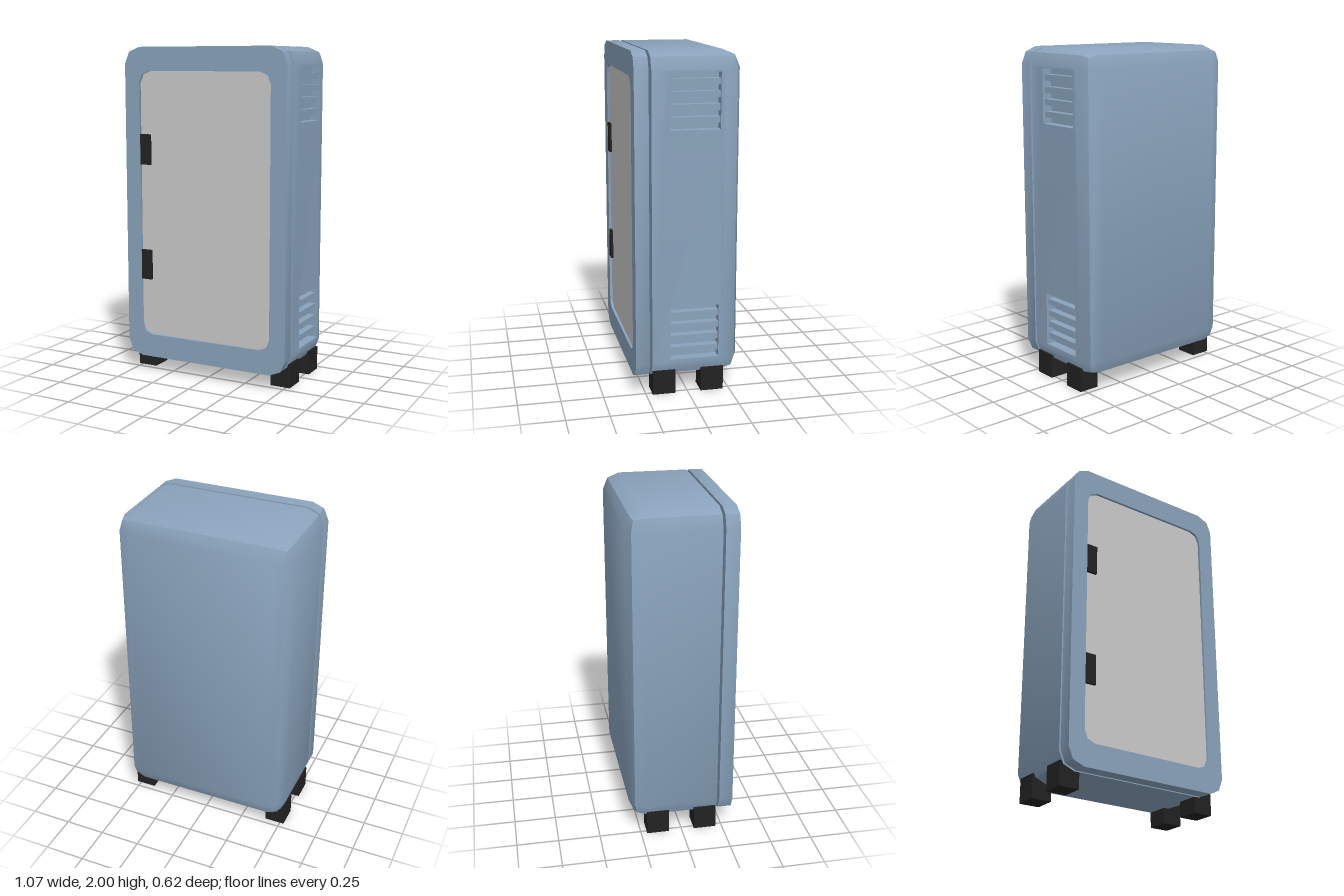
import * as THREE from 'three';
import { toCreasedNormals } from 'three/addons/utils/BufferGeometryUtils.js';

const W = 0.535, H = 0.9525, CY = 1.0475, R = 0.1;   // half width, half height, centre height, corner radius
const FRONT = 0.312, BACK = -0.312, GAP_FRONT = 0.23, GAP_BACK = 0.215;
const CREASE = 0.6;
const S = Math.SQRT1_2, T = 1 / Math.sqrt(3);

// Three points per corner, counter-clockwise seen from the front
function ring(w, h, r, dirs) {
  const pts = [];
  for (let q = 0; q < 4; q++) {
    const sx = q === 0 || q === 3 ? 1 : -1, sy = q < 2 ? 1 : -1;
    const c = Math.round(Math.cos(q * Math.PI / 2)), s = Math.round(Math.sin(q * Math.PI / 2));
    for (const [dx, dy, dz = 0] of dirs) {
      pts.push(new THREE.Vector3(
        sx * (w - r) + r * (dx * c - dy * s),
        CY + sy * (h - r) + r * (dx * s + dy * c),
        -r * dz));
    }
  }
  return pts;
}
const FLAT = [[1, 0], [S, S], [0, 1]];
const outline = (w, h, r) => ring(w, h, r, FLAT).map(p => new THREE.Vector2(p.x, p.y));

const vents = [0.375, 1.725].map(y => ({ y, z: -0.0375, h: 0.32, w: 0.285 }));

// Main shell: rounded back, flat front, louvre openings in the left wall
function shellGeometry() {
  const zc = BACK + R;
  const place = (pts, z) => pts.map(p => p.setZ(p.z + z));
  const layers = [
    place(ring(W, H, R, FLAT), GAP_BACK),
    place(ring(W, H, R, FLAT), zc),
    place(ring(W, H, R, [[S, 0, S], [T, T, T], [0, S, S]]), zc),
    place(ring(W, H, R, [[0, 0, 1], [0, 0, 1], [0, 0, 1]]), zc),
  ];
  const pos = [];
  const tri = (a, b, c) => {
    if (new THREE.Triangle(a, b, c).getArea() > 1e-7) for (const p of [a, b, c]) pos.push(p.x, p.y, p.z);
  };
  for (let l = 0; l < 3; l++) {
    for (let i = 0; i < 12; i++) {
      if (l === 0 && i === 11) continue;             // left wall is added below
      const j = (i + 1) % 12;
      const a = layers[l][i], b = layers[l][j], c = layers[l + 1][j], d = layers[l + 1][i];
      tri(a, d, c);
      tri(a, c, b);
    }
  }
  for (let i = 1; i < 11; i++) {
    tri(layers[0][0], layers[0][i], layers[0][i + 1]);
    tri(layers[3][0], layers[3][i + 1], layers[3][i]);
  }
  // Left wall with two holes, drawn in (-z, y)
  const rect = (u0, u1, v0, v1) => [[u0, v0], [u1, v0], [u1, v1], [u0, v1]].map(p => new THREE.Vector2(...p));
  const wall = new THREE.Shape(rect(-GAP_BACK, -zc, CY - H + R, CY + H - R));
  for (const v of vents) {
    wall.holes.push(new THREE.Path(rect(-v.z - v.w / 2, -v.z + v.w / 2, v.y - v.h / 2, v.y + v.h / 2).reverse()));
  }
  const wallGeo = new THREE.ShapeGeometry(wall).rotateY(Math.PI / 2).translate(W, 0, 0).toNonIndexed();
  pos.push(...wallGeo.attributes.position.array);

  const geo = new THREE.BufferGeometry();
  geo.setAttribute('position', new THREE.Float32BufferAttribute(pos, 3));
  geo.computeVertexNormals();
  return toCreasedNormals(geo, CREASE);
}

// Inward-facing box open towards +x
function recessGeometry(depth, h, w) {
  const geo = new THREE.BoxGeometry(depth, h, w);
  geo.setIndex(Array.from(geo.index.array).slice(6));
  geo.clearGroups();
  geo.scale(1, 1, -1);
  geo.computeVertexNormals();
  return geo;
}

export function createModel() {
  const blue = new THREE.MeshStandardMaterial({ name: 'steelBlue', color: 0x8aa3bc });
  const grey = new THREE.MeshStandardMaterial({ name: 'lightGrey', color: 0xcacaca });
  const black = new THREE.MeshStandardMaterial({ name: 'black', color: 0x222222 });

  const model = new THREE.Group();
  model.name = 'cabinet';
  const add = (name, geo, mat, x = 0, y = 0, z = 0, parent = model) => {
    const mesh = new THREE.Mesh(geo, mat);
    mesh.name = name;
    mesh.position.set(x, y, z);
    parent.add(mesh);
    return mesh;
  };

  add('shell', shellGeometry(), blue);

  // Front frame, separated from the shell by a narrow gap
  const frame = new THREE.Shape(outline(W, H, R));
  frame.holes.push(new THREE.Path(outline(0.435, 0.81, 0.07).reverse()));
  const frameGeo = new THREE.ExtrudeGeometry(frame, { depth: FRONT - GAP_FRONT, bevelEnabled: false });
  add('frontFrame', toCreasedNormals(frameGeo, CREASE), blue, 0, 0, GAP_FRONT);

  // Door panel, slightly recessed in the frame
  const doorFace = 0.297;
  const door = new THREE.Shape(outline(0.435, 0.81, 0.07));
  const doorGeo = new THREE.ExtrudeGeometry(door, { depth: doorFace - GAP_FRONT, bevelEnabled: false });
  add('doorPanel', doorGeo, grey, 0, 0, GAP_FRONT);

  // Hinges on the door
  for (const y of [0.677, 1.387]) {
    add('hinge', new THREE.BoxGeometry(0.07, 0.184, 0.03), black, -0.4, y, FRONT - 0.016);
  }

  // Louvred vents: five openings between four slats
  const depth = 0.06, slatDepth = 0.045;
  for (const v of vents) {
    const vent = new THREE.Group();
    vent.name = 'sideVent';
    vent.position.set(W, v.y, v.z);
    model.add(vent);
    add('ventRecess', recessGeometry(depth, v.h, v.w), blue, -depth / 2, 0, 0, vent);
    const step = v.h / 9;
    for (let i = 0; i < 4; i++) {
      add('ventSlat', new THREE.BoxGeometry(slatDepth, step, v.w), blue,
        -depth + slatDepth / 2, (i - 1.5) * 2 * step, 0, vent);
    }
  }

  // Feet
  for (const x of [-0.463, 0.463]) {
    for (const z of [-0.146, 0.144]) {
      add('foot', new THREE.BoxGeometry(0.125, 0.145, 0.135), black, x, 0.0725, z);
    }
  }
  return model;
}
